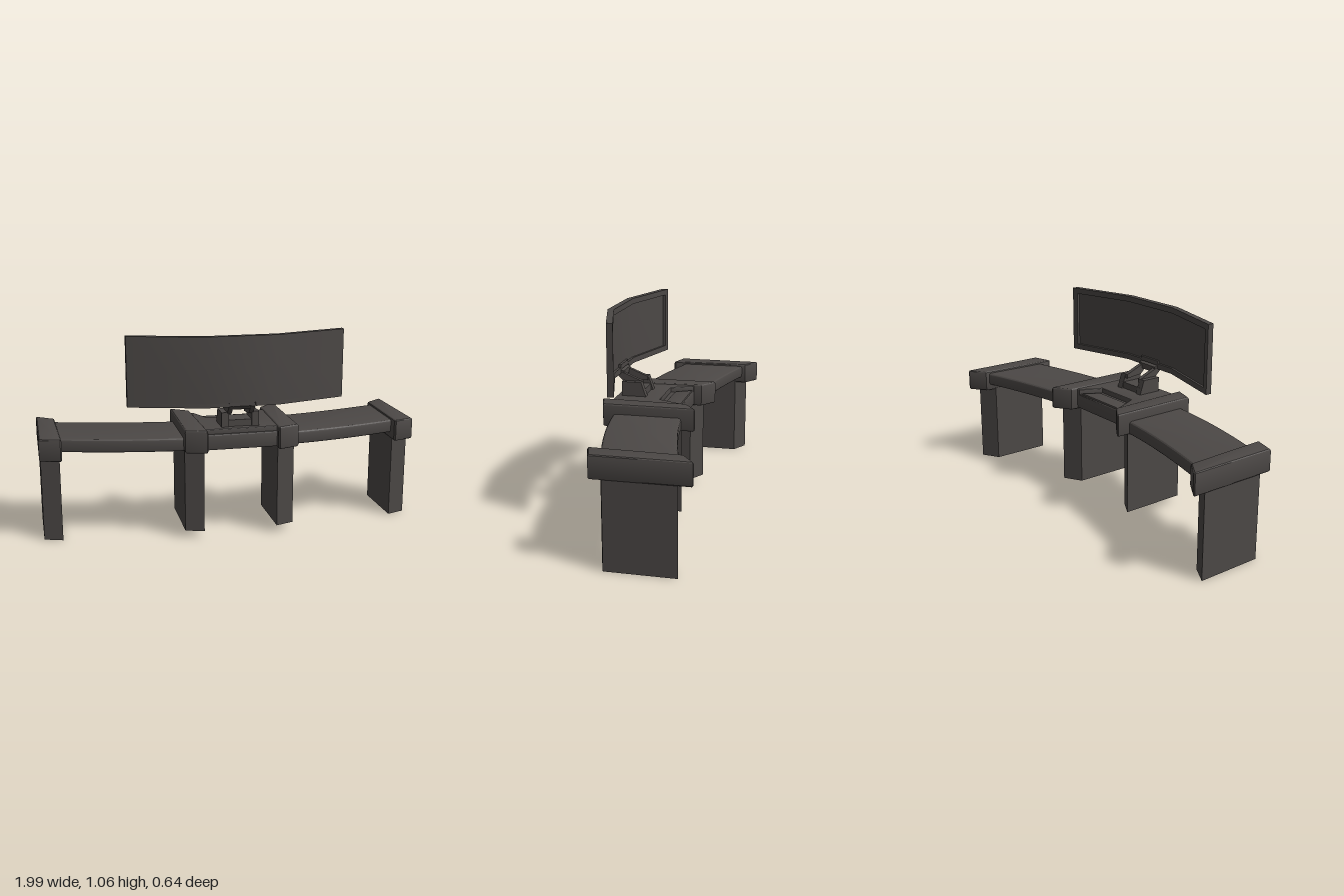
import * as THREE from 'three';
import { toCreasedNormals } from 'three/addons/utils/BufferGeometryUtils.js';

const charcoal = new THREE.MeshStandardMaterial({ color: 0x4c4846 });
charcoal.name = 'charcoal';

// Centre line of the middle section and the screen
const MID = 0.015;

function part(group, name, geometry) {
  const mesh = new THREE.Mesh(toCreasedNormals(geometry, 0.5), charcoal);
  mesh.name = name;
  group.add(mesh);
  return mesh;
}

// Horizontal slab: plan outline of [x, z] points raised from y0 to y1, edges rounded by r
function slab(points, y0, y1, r = 0) {
  const shape = new THREE.Shape(points.map(([x, z]) => new THREE.Vector2(x, -z)));
  const geometry = new THREE.ExtrudeGeometry(shape, {
    depth: y1 - y0 - 2 * r, bevelEnabled: r > 0,
    bevelThickness: r, bevelSize: r, bevelOffset: -r, bevelSegments: 3,
  });
  return geometry.rotateX(-Math.PI / 2).translate(0, y0 + r, 0);
}

// Upright plate: side outline of [z, y] points, spanning x0 to x1
function sidePlate(points, x0, x1) {
  const shape = new THREE.Shape(points.map(([z, y]) => new THREE.Vector2(-z, y)));
  return new THREE.ExtrudeGeometry(shape, { depth: x1 - x0, bevelEnabled: false })
    .rotateY(Math.PI / 2).translate(x0, 0, 0);
}

function box(x0, x1, y0, y1, z0, z1) {
  return new THREE.BoxGeometry(x1 - x0, y1 - y0, z1 - z0)
    .translate((x0 + x1) / 2, (y0 + y1) / 2, (z0 + z1) / 2);
}

// Skewed bracket and leg; side is +1 or -1, outer is the x of the outer face
function addSupport(group, name, side, outer, dz, footY, y0, y1) {
  const at = (inset, z) => [side * (outer - inset), z + dz];
  part(group, name + 'Bracket', slab(
    [at(0, -0.32), at(0.01, -0.322), at(0.097, -0.26), at(0.112, 0.175), at(0.105, 0.185), at(0, 0.152)],
    y0, y1, 0.012));
  part(group, name + 'Leg', slab(
    [at(0.006, -0.255), at(0.101, -0.2), at(0.101, 0.125), at(0.006, 0.093)], footY, y0 + 0.01));
}

// Curved desk wing between the inner and outer brackets
function addWing(group, name, side) {
  const back = new THREE.QuadraticBezierCurve(
    new THREE.Vector2(0.24, -0.11), new THREE.Vector2(0.56, -0.14), new THREE.Vector2(0.93, -0.25));
  const front = new THREE.QuadraticBezierCurve(
    new THREE.Vector2(0.93, 0.11), new THREE.Vector2(0.56, 0.22), new THREE.Vector2(0.24, 0.242));
  const outline = [...back.getPoints(14), ...front.getPoints(14)].map((p) => [side * p.x, p.y]);
  part(group, name, slab(outline, 0.47, 0.54, 0.014));
}

// Folded screen: front depth at a given x
const FOLDS = [-0.55, -0.17, 0.2, 0.575];
function screenZ(x) {
  if (x < FOLDS[1]) return 0.287 - 0.104 * (FOLDS[1] - x) / 0.38;
  if (x > FOLDS[2]) return 0.287 - 0.104 * (x - FOLDS[2]) / 0.375;
  return 0.287;
}

// Piece of the screen following the folds, from depth d0 to d1 behind the front
function screenPiece(x0, x1, y0, y1, d0, d1) {
  const xs = [x0, ...FOLDS.filter((x) => x > x0 && x < x1), x1];
  return slab([
    ...xs.map((x) => [x, screenZ(x) - d0]),
    ...xs.slice().reverse().map((x) => [x, screenZ(x) - d1]),
  ], y0, y1);
}

function addScreen(group) {
  const [l, , , r] = FOLDS, bottom = 0.7, top = 1.057, notch = 0.72;
  const n0 = MID - 0.07, n1 = MID + 0.07;
  // Front panel with a notch for the arm
  part(group, 'screenPanel', screenPiece(l, r, notch, top, 0, 0.02));
  part(group, 'screenPanelLowerRight', screenPiece(l, n0, bottom, notch, 0, 0.02));
  part(group, 'screenPanelLowerLeft', screenPiece(n1, r, bottom, notch, 0, 0.02));
  // Raised rim on the back
  part(group, 'rimTop', screenPiece(l, r, top - 0.03, top, 0.02, 0.033));
  part(group, 'rimBottomRight', screenPiece(l, n0, bottom, bottom + 0.03, 0.02, 0.033));
  part(group, 'rimBottomLeft', screenPiece(n1, r, bottom, bottom + 0.03, 0.02, 0.033));
  part(group, 'rimBottomMiddle', screenPiece(n0, n1, notch, notch + 0.025, 0.02, 0.033));
  part(group, 'rimRight', screenPiece(l, l + 0.03, bottom + 0.03, top - 0.03, 0.02, 0.033));
  part(group, 'rimLeft', screenPiece(r - 0.03, r, bottom + 0.03, top - 0.03, 0.02, 0.033));
}

function addMount(group) {
  // Open cradle
  part(group, 'cradleFloor', box(MID - 0.09, MID + 0.09, 0.58, 0.62, 0.125, 0.235));
  for (const side of [-1, 1]) {
    const a = MID + side * 0.06, b = MID + side * 0.097;
    part(group, 'cradleCheek', sidePlate(
      [[0.243, 0.58], [0.243, 0.662], [0.14, 0.662], [0.112, 0.58]], Math.min(a, b), Math.max(a, b)));
    // Slanting arm bar
    const c = MID + side * 0.045, d = MID + side * 0.068;
    part(group, 'armBar', sidePlate(
      [[0.14, 0.64], [0.235, 0.65], [0.285, 0.7], [0.285, 0.715], [0.235, 0.7], [0.14, 0.662]],
      Math.min(c, d), Math.max(c, d)));
  }
  // Cross bar meeting the screen notch
  part(group, 'armCrossBar', sidePlate(
    [[0.243, 0.68], [0.262, 0.68], [0.286, 0.702], [0.286, 0.722], [0.24, 0.712]], MID - 0.066, MID + 0.066));
}

export function createModel() {
  const model = new THREE.Group();
  model.name = 'curvedDesk';

  const desk = new THREE.Group();
  desk.name = 'desk';
  for (const side of [-1, 1]) {
    const word = side > 0 ? 'left' : 'right';
    addWing(desk, word + 'Wing', side);
    addSupport(desk, word + 'Outer', side, 0.993, 0, 0, 0.436, 0.553);
    addSupport(desk, word + 'Inner', side, side > 0 ? 0.311 : 0.277, 0.135, 0.04, 0.472, 0.592);
  }

  // Raised middle section with a shallow tray cut into its back
  part(desk, 'middleBase', slab(
    [[-0.2, -0.085], [0.235, -0.085], [0.235, 0.28], [-0.2, 0.28]], 0.478, 0.56, 0.01));
  part(desk, 'middleTop', slab([
    [-0.2, -0.085], [MID - 0.18, -0.085], [MID - 0.125, 0.03], [MID + 0.125, 0.03],
    [MID + 0.18, -0.085], [0.235, -0.085], [0.235, 0.27], [-0.2, 0.27]], 0.54, 0.586, 0.005));
  part(desk, 'trayFloor', slab(
    [[MID - 0.16, -0.08], [MID + 0.16, -0.08], [MID + 0.11, 0.005], [MID - 0.11, 0.005]], 0.55, 0.568, 0.004));
  model.add(desk);

  const display = new THREE.Group();
  display.name = 'display';
  addMount(display);
  addScreen(display);
  model.add(display);
  return model;
}
